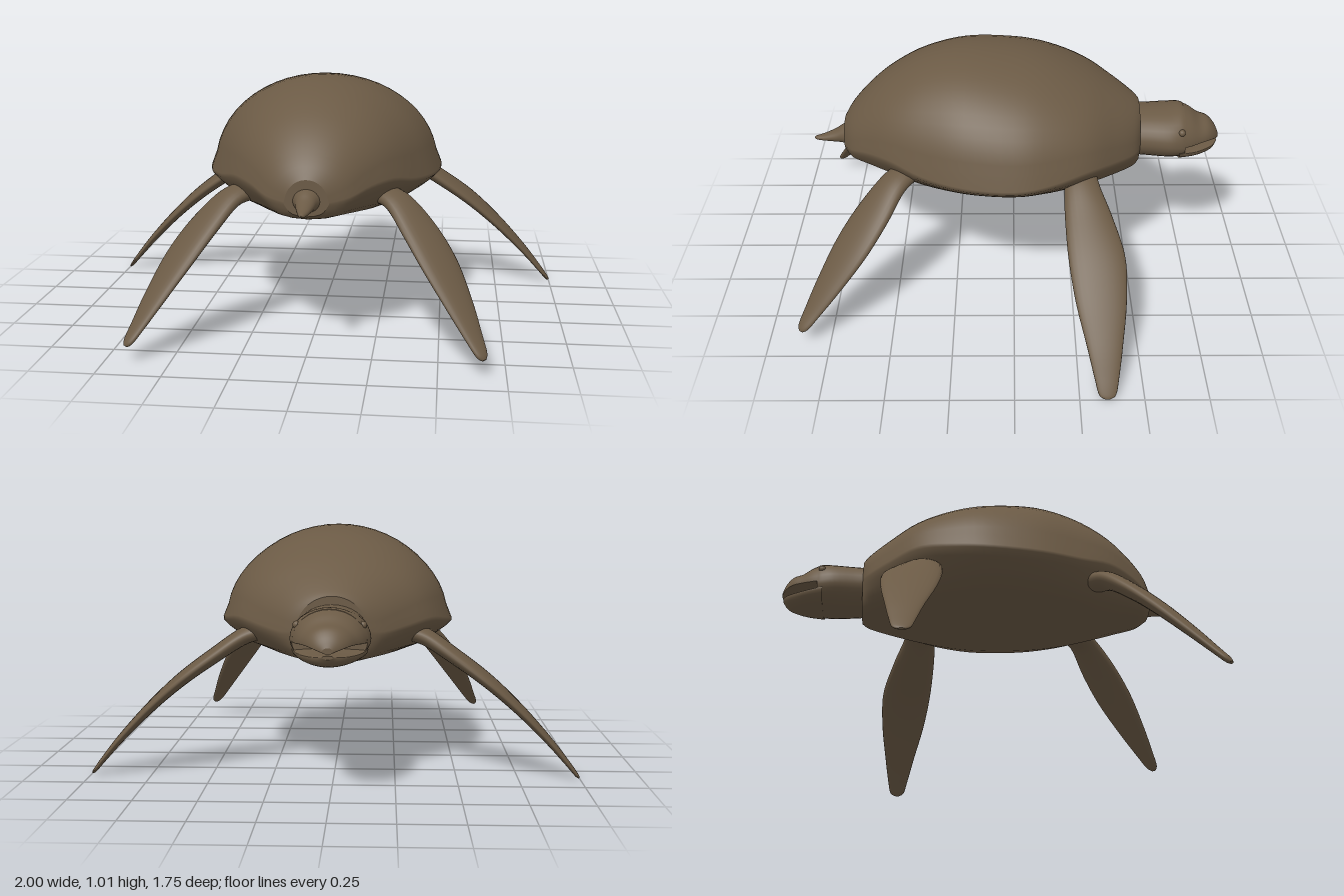
import * as THREE from 'three';

const skin = new THREE.MeshStandardMaterial({ color: 0x6b5a45 });
skin.name = 'olive brown skin';

// Smoothly resample a short table of stations, column by column
function resample(rows, steps) {
  const out = [];
  for (let i = 0; i < rows.length - 1; i++) {
    const r = k => rows[Math.min(Math.max(k, 0), rows.length - 1)];
    const [a, b, c, d] = [r(i - 1), r(i), r(i + 1), r(i + 2)];
    for (let s = 0; s < steps; s++) {
      const t = s / steps;
      out.push(b.map((v, k) => v + 0.5 * t * (c[k] - a[k]
        + t * (2 * a[k] - 5 * v + 4 * c[k] - d[k] + t * (3 * (v - c[k]) + d[k] - a[k])))));
    }
  }
  out.push(rows[rows.length - 1]);
  return out;
}

// Skin closed rings of points; both ends get their own flat cap
function loft(name, rings) {
  const n = rings[0].length, pos = [], index = [];
  const add = p => pos.push(p.x, p.y, p.z);
  rings.forEach(ring => ring.forEach(add));
  for (let i = 0; i < rings.length - 1; i++)
    for (let j = 0; j < n; j++) {
      const a = i * n + j, b = i * n + (j + 1) % n;
      index.push(a, b, a + n, b, b + n, a + n);
    }
  [rings[0], rings[rings.length - 1]].forEach((ring, end) => {
    const base = pos.length / 3;
    ring.forEach(add);
    add(ring.reduce((s, p) => s.add(p), new THREE.Vector3()).divideScalar(n));
    for (let j = 0; j < n; j++) {
      const a = base + j, b = base + (j + 1) % n;
      index.push(...(end ? [a, b, base + n] : [b, a, base + n]));
    }
  });
  // Signed volume tells whether the faces point outward
  let volume = 0;
  const v = k => new THREE.Vector3().fromArray(pos, 3 * k);
  for (let i = 0; i < index.length; i += 3)
    volume += v(index[i]).dot(v(index[i + 1]).cross(v(index[i + 2])));
  if (volume < 0) index.reverse();

  const geo = new THREE.BufferGeometry();
  geo.setAttribute('position', new THREE.Float32BufferAttribute(pos, 3));
  geo.setIndex(index);
  geo.computeVertexNormals();
  const mesh = new THREE.Mesh(geo, skin);
  mesh.name = name;
  return mesh;
}

// Body along z with oval sections: [z, half width, top, middle, bottom]
function ovalBody(name, rows) {
  return loft(name, resample(rows, 4).map(([z, w, top, mid, bottom]) =>
    Array.from({ length: 32 }, (_, j) => {
      const a = j / 32 * Math.PI * 2, s = Math.sin(a);
      return new THREE.Vector3(w * Math.cos(a), mid + s * (s > 0 ? top - mid : mid - bottom), z);
    })));
}

// Domed shell with a flared rim and shallow belly: [z, half width, top, rim, bottom]
function shell(rows) {
  return loft('shell', resample(rows, 4).map(([z, w, top, rim, bottom]) => {
    const half = [];
    for (let k = 0; k <= 12; k++) {
      const a = k / 12 * 1.42;
      half.push([0.965 * w * Math.sin(a), rim + (top - rim) * Math.cos(a)]);
    }
    const drop = rim - bottom;
    [[1, 0.0], [1, 0.1], [0.95, 0.26], [0.87, 0.45], [0.76, 0.68], [0.6, 0.84], [0.35, 0.95], [0, 1]]
      .forEach(([x, d]) => half.push([x * w, rim - d * drop]));
    const left = half.slice(1, -1).reverse().map(([x, y]) => [-x, y]);
    return [...half, ...left].map(([x, y]) => new THREE.Vector3(x, y, z));
  }));
}

// Flat curved flipper: [x, y, z, half width, half thickness], spread along u
function flipper(name, rows, u, side) {
  const st = resample(rows, 6);
  const centre = st.map(([x, y, z]) => new THREE.Vector3(x, y, z));
  return loft(name, st.map(([, , , w, t], i) => {
    const tangent = centre[Math.min(i + 1, st.length - 1)].clone().sub(centre[Math.max(i - 1, 0)]);
    const up = tangent.cross(u).normalize();
    return Array.from({ length: 24 }, (_, j) => {
      const a = j / 24 * Math.PI * 2;
      const p = centre[i].clone().addScaledVector(u, w * Math.cos(a)).addScaledVector(up, t * Math.sin(a));
      p.x *= side;
      return p;
    });
  }));
}

export function createModel() {
  const turtle = new THREE.Group();
  turtle.name = 'turtle';

  turtle.add(shell([
    [-0.53, 0.145, 0.765, 0.63, 0.5],
    [-0.5, 0.205, 0.79, 0.625, 0.495],
    [-0.42, 0.29, 0.845, 0.64, 0.49],
    [-0.3, 0.395, 0.915, 0.66, 0.485],
    [-0.15, 0.465, 0.975, 0.64, 0.48],
    [0, 0.493, 1.005, 0.625, 0.48],
    [0.2, 0.465, 1.015, 0.625, 0.48],
    [0.37, 0.395, 0.98, 0.635, 0.487],
    [0.5, 0.315, 0.915, 0.66, 0.5],
    [0.6, 0.235, 0.84, 0.65, 0.515],
    [0.68, 0.16, 0.755, 0.62, 0.53],
    [0.72, 0.085, 0.69, 0.605, 0.55],
  ]));

  // Head: neck and cranium, hooked beak and open lower jaw
  const head = new THREE.Group();
  head.name = 'head';
  head.add(ovalBody('neckAndCranium', [
    [-0.45, 0.138, 0.73, 0.625, 0.54],
    [-0.55, 0.143, 0.733, 0.625, 0.53],
    [-0.65, 0.154, 0.737, 0.62, 0.525],
    [-0.7, 0.148, 0.742, 0.615, 0.528],
    [-0.722, 0.141, 0.738, 0.612, 0.53],
  ]));
  head.add(ovalBody('beak', [
    [-0.71, 0.145, 0.741, 0.615, 0.603],
    [-0.75, 0.129, 0.722, 0.615, 0.606],
    [-0.79, 0.107, 0.694, 0.617, 0.61],
    [-0.83, 0.083, 0.682, 0.617, 0.609],
    [-0.86, 0.053, 0.65, 0.61, 0.601],
    [-0.877, 0.02, 0.615, 0.6, 0.592],
  ]));
  head.add(ovalBody('lowerJaw', [
    [-0.7, 0.144, 0.592, 0.585, 0.528],
    [-0.76, 0.122, 0.586, 0.578, 0.53],
    [-0.81, 0.092, 0.584, 0.576, 0.534],
    [-0.85, 0.058, 0.585, 0.577, 0.546],
    [-0.872, 0.02, 0.586, 0.58, 0.572],
  ]));
  for (const side of [1, -1]) {
    const eye = new THREE.Mesh(new THREE.SphereGeometry(0.015, 16, 12), skin);
    eye.name = side > 0 ? 'leftEye' : 'rightEye';
    eye.position.set(side * 0.124, 0.677, -0.705);
    head.add(eye);
  }
  turtle.add(head);

  turtle.add(ovalBody('tail', [
    [0.66, 0.085, 0.68, 0.61, 0.555],
    [0.73, 0.046, 0.65, 0.608, 0.567],
    [0.77, 0.034, 0.624, 0.598, 0.571],
    [0.82, 0.021, 0.602, 0.588, 0.574],
    [0.85, 0.011, 0.594, 0.585, 0.577],
    [0.86, 0.003, 0.588, 0.585, 0.582],
  ]));

  // Flippers, mirrored to both sides
  const front = [
    [0.28, 0.6, -0.27, 0.065, 0.04],
    [0.37, 0.575, -0.275, 0.072, 0.036],
    [0.48, 0.505, -0.297, 0.094, 0.032],
    [0.62, 0.405, -0.325, 0.112, 0.028],
    [0.75, 0.29, -0.338, 0.1, 0.022],
    [0.87, 0.165, -0.349, 0.07, 0.016],
    [0.95, 0.07, -0.355, 0.047, 0.011],
    [0.987, 0.023, -0.357, 0.033, 0.008],
    [0.998, 0.01, -0.357, 0.012, 0.004],
  ];
  const rear = [
    [0.26, 0.585, 0.43, 0.06, 0.04],
    [0.335, 0.56, 0.495, 0.068, 0.036],
    [0.42, 0.47, 0.575, 0.088, 0.032],
    [0.5, 0.36, 0.66, 0.09, 0.028],
    [0.575, 0.235, 0.75, 0.068, 0.022],
    [0.63, 0.135, 0.82, 0.043, 0.016],
    [0.658, 0.085, 0.855, 0.028, 0.013],
    [0.668, 0.068, 0.867, 0.01, 0.006],
  ];
  for (const side of [1, -1]) {
    const label = side > 0 ? 'left' : 'right';
    turtle.add(flipper(label + 'FrontFlipper', front, new THREE.Vector3(0, 0, 1), side));
    turtle.add(flipper(label + 'RearFlipper', rear, new THREE.Vector3(0.7, 0, -0.714), side));
  }
  return turtle;
}
